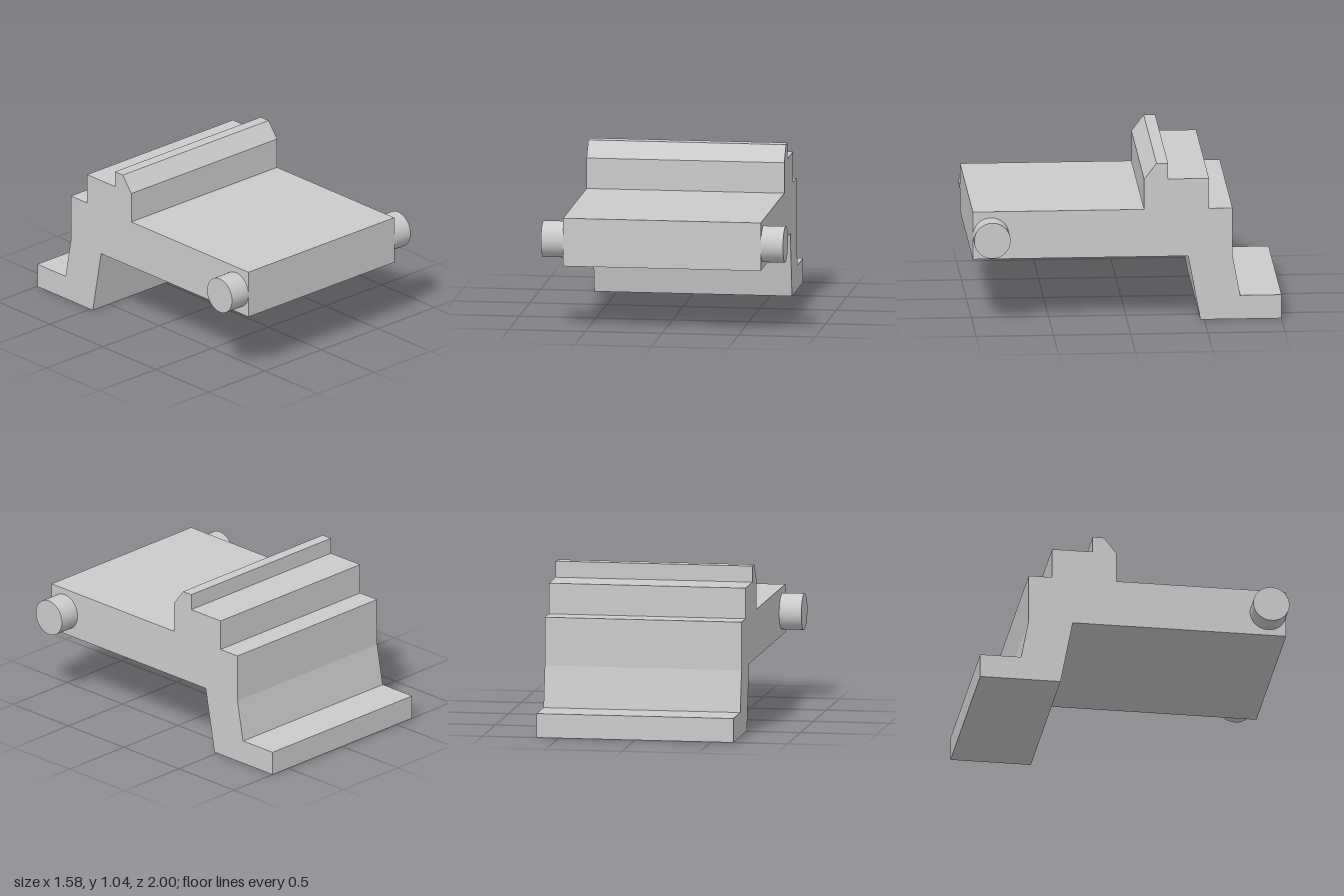
import * as THREE from 'three';

export function createModel() {
  const model = new THREE.Group();
  const flat = new THREE.MeshStandardMaterial({ color: 0xcccccc, flatShading: true });
  const smooth = new THREE.MeshStandardMaterial({ color: 0xcccccc });

  const halfWidth = 0.645;

  // Side profile as [z, y]: plate, chamfered rib, steps, sloped leg and rear foot
  const profile = [
    [1, 0.425], [1, 0.74], [-0.11, 0.74], [-0.11, 0.94], [-0.19, 1.045],
    [-0.265, 1.045], [-0.265, 0.94], [-0.53, 0.94], [-0.53, 0.74],
    [-0.683, 0.74], [-0.683, 0.425], [-0.735, 0.145], [-0.735, 0.157],
    [-1, 0.157], [-1, 0], [-0.475, 0], [-0.395, 0.425],
  ];
  const shape = new THREE.Shape(profile.map(([z, y]) => new THREE.Vector2(-z, y)));
  const bodyGeometry = new THREE.ExtrudeGeometry(shape, { depth: 2 * halfWidth, bevelEnabled: false });
  bodyGeometry.translate(0, 0, -halfWidth).rotateY(Math.PI / 2);
  const body = new THREE.Mesh(bodyGeometry, flat);
  body.name = 'body';
  model.add(body);

  // Round hinge pins on both sides of the front end
  const pinLength = 0.145;
  for (const side of [1, -1]) {
    const pin = new THREE.Mesh(new THREE.CylinderGeometry(0.118, 0.118, pinLength, 48), smooth);
    pin.name = side > 0 ? 'leftPin' : 'rightPin';
    pin.rotation.z = Math.PI / 2;
    pin.position.set(side * (halfWidth + pinLength / 2), 0.582, 0.882);
    model.add(pin);
  }

  return model;
}
